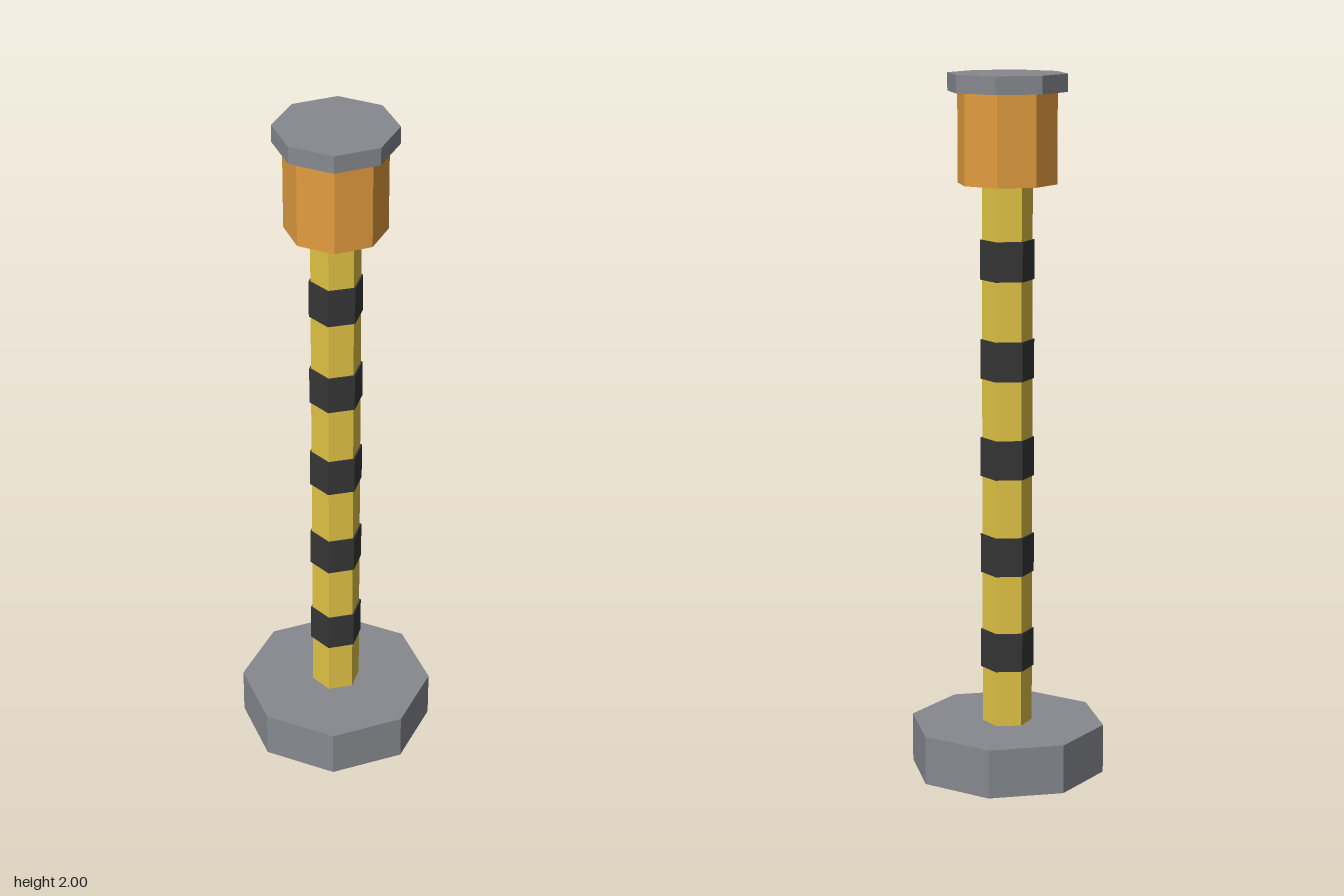
import * as THREE from 'three';

export function createModel() {
  const model = new THREE.Group();
  model.name = 'stripedBeaconPost';

  const material = (name, color) => {
    const m = new THREE.MeshStandardMaterial({ color, flatShading: true });
    m.name = name;
    return m;
  };
  const grey = material('grey', 0x86898f);
  const yellow = material('yellow', 0xe0c344);
  const black = material('black', 0x363636);
  const orange = material('orange', 0xe39c40);

  // Upright prism from y0 to y1, with a corner facing the front
  const prism = (name, radius, y0, y1, sides, mat) => {
    const mesh = new THREE.Mesh(new THREE.CylinderGeometry(radius, radius, y1 - y0, sides), mat);
    mesh.name = name;
    mesh.position.y = (y0 + y1) / 2;
    model.add(mesh);
  };

  prism('base', 0.281, 0, 0.141, 8, grey);
  prism('pole', 0.071, 0.141, 1.696, 6, yellow);

  // Evenly spaced dark bands around the pole
  for (let i = 0; i < 5; i++) {
    const y = 0.36 + i * 0.281;
    prism(`band${i + 1}`, 0.076, y - 0.056, y + 0.056, 6, black);
  }

  prism('lamp', 0.141, 1.696, 1.95, 8, orange);
  prism('cap', 0.169, 1.95, 2, 8, grey);
  return model;
}
